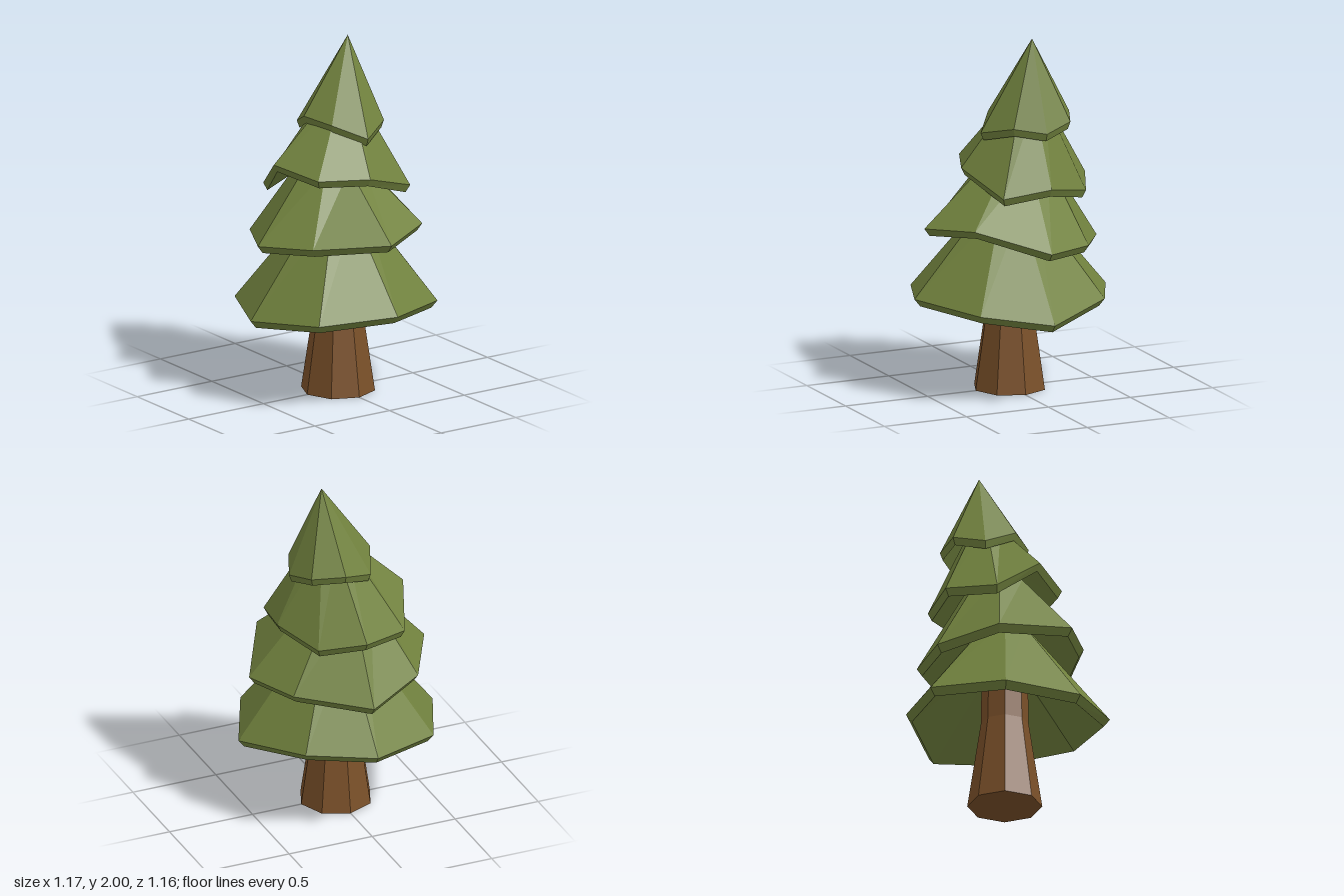
import * as THREE from 'three';

const leafMaterial = new THREE.MeshStandardMaterial({ color: 0x71823e, flatShading: true });
const barkMaterial = new THREE.MeshStandardMaterial({ color: 0x7a5029, flatShading: true });

// Each tier: an uneven eight-point rim, a small top ring (x, y, z, radius),
// and the peak of its hollow underside. Rims run from the back round by +x.
const tiers = [
  {
    name: 'bottomBranches',
    rim: [[0, 0.53, -0.585], [0.36, 0.54, -0.41], [0.585, 0.48, 0], [0.41, 0.53, 0.37],
      [0, 0.56, 0.58], [-0.41, 0.53, 0.41], [-0.585, 0.49, 0], [-0.41, 0.5, -0.41]],
    top: [0, 1.05, 0, 0.15], peak: [0, 0.97, 0],
  },
  {
    name: 'lowerMiddleBranches',
    rim: [[0, 0.81, -0.53], [0.385, 0.86, -0.3], [0.525, 0.87, -0.01], [0.315, 0.99, 0.36],
      [0, 0.955, 0.52], [-0.35, 0.925, 0.265], [-0.53, 0.91, -0.01], [-0.33, 0.88, -0.38]],
    top: [-0.01, 1.3, -0.05, 0.175], peak: [0, 1.22, -0.03],
  },
  {
    name: 'upperMiddleBranches',
    rim: [[0.01, 1.18, -0.455], [0.255, 1.14, -0.345], [0.385, 1.2, -0.075], [0.345, 1.165, 0.2],
      [0.01, 1.28, 0.3], [-0.26, 1.285, 0.185], [-0.365, 1.33, -0.095], [-0.27, 1.15, -0.335]],
    top: [0.07, 1.65, -0.07, 0.105], peak: [0.04, 1.52, -0.06],
  },
  {
    name: 'crown',
    rim: [[0.08, 1.555, -0.325], [0.255, 1.54, -0.25], [0.315, 1.5, -0.08], [0.245, 1.53, 0.09],
      [0.06, 1.48, 0.205], [-0.1, 1.555, 0.085], [-0.17, 1.58, -0.085], [-0.1, 1.5, -0.255]],
    top: [0.12, 2, -0.08, 0], peak: [0.1, 1.82, -0.08],
  },
];

function tierGeometry({ rim, top, peak }) {
  const n = rim.length;
  const [tx, ty, tz, radius] = top;
  const cx = rim.reduce((sum, p) => sum + p[0], 0) / n;
  const cz = rim.reduce((sum, p) => sum + p[2], 0) / n;

  // The bevelled edge tucks in and down below the rim
  const lower = rim.map(([x, y, z]) => [cx + (x - cx) * 0.94, y - 0.043, cz + (z - cz) * 0.94]);
  const rings = [lower, rim];
  if (radius > 0) {
    rings.push(rim.map((p, i) => {
      const a = (i / n) * Math.PI * 2;
      return [tx + Math.sin(a) * radius, ty, tz - Math.cos(a) * radius];
    }));
  }

  const positions = [];
  const triangle = (a, b, c) => positions.push(...a, ...b, ...c);
  const last = rings[rings.length - 1];
  for (let i = 0; i < n; i++) {
    const j = (i + 1) % n;
    for (let k = 0; k < rings.length - 1; k++) {
      const low = rings[k], high = rings[k + 1];
      triangle(low[j], low[i], high[i]);
      triangle(low[j], high[i], high[j]);
    }
    triangle(last[j], last[i], [tx, ty, tz]);
    triangle(lower[i], lower[j], peak);
  }
  const geometry = new THREE.BufferGeometry();
  geometry.setAttribute('position', new THREE.Float32BufferAttribute(positions, 3));
  geometry.computeVertexNormals();
  return geometry;
}

export function createModel() {
  const tree = new THREE.Group();
  tree.name = 'tree';

  // Trunk: flared foot, then a straight shaft hidden in the branches
  const profile = [[0, 0], [0.207, 0], [0.132, 0.5], [0.125, 0.92], [0, 0.92]];
  const trunk = new THREE.Mesh(
    new THREE.LatheGeometry(profile.map(([r, y]) => new THREE.Vector2(r, y)), 8),
    barkMaterial,
  );
  trunk.name = 'trunk';
  tree.add(trunk);

  // Stacked branch tiers
  for (const tier of tiers) {
    const mesh = new THREE.Mesh(tierGeometry(tier), leafMaterial);
    mesh.name = tier.name;
    tree.add(mesh);
  }
  return tree;
}
